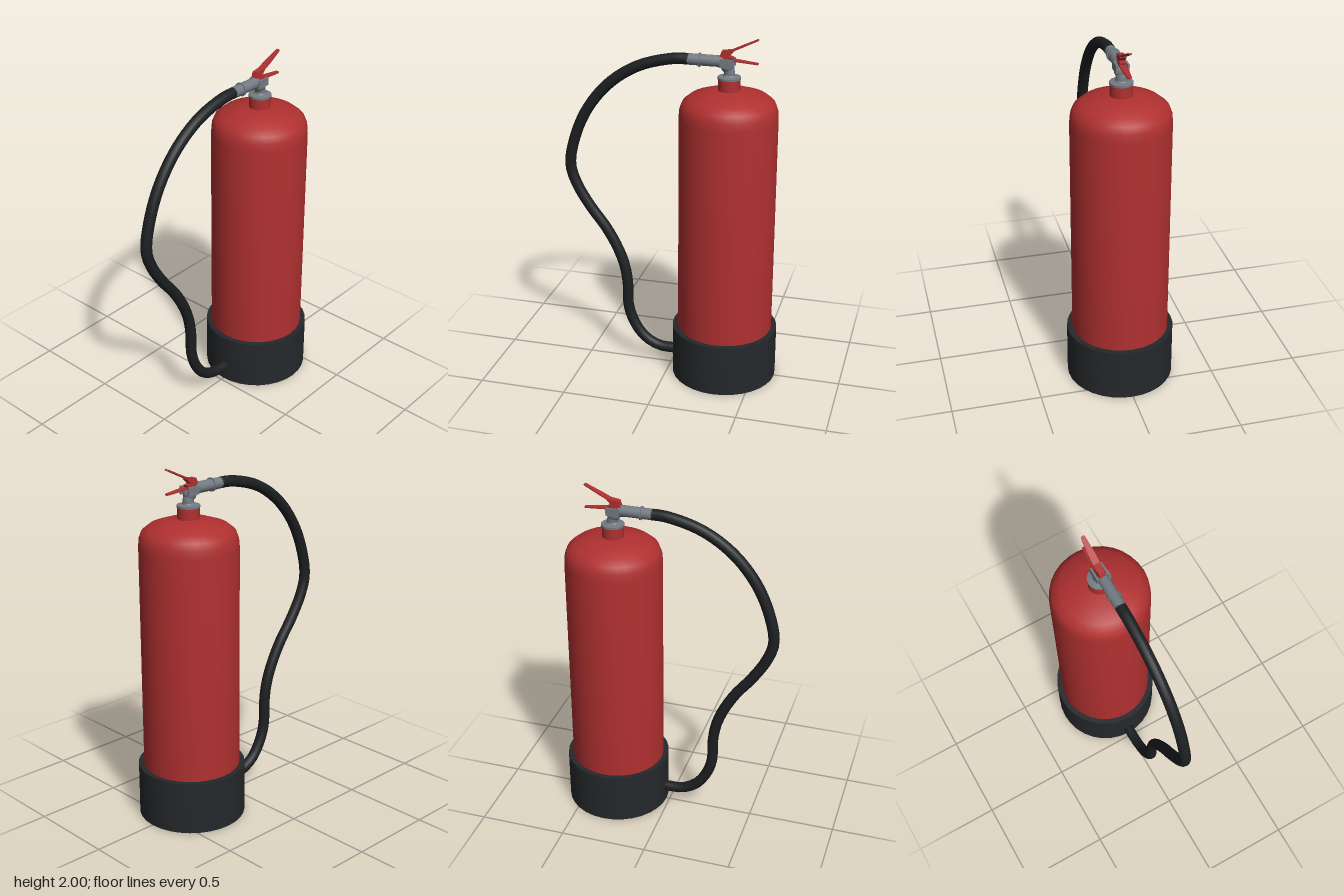
import * as THREE from 'three';
import { toCreasedNormals } from 'three/addons/utils/BufferGeometryUtils.js';

const CZ = -0.32; // axis of the cylinder
const red = new THREE.MeshStandardMaterial({ color: 0xb03030 });
const black = new THREE.MeshStandardMaterial({ color: 0x25282b });
const hoseBlack = new THREE.MeshStandardMaterial({ color: 0x1c1f21 });
const steel = new THREE.MeshStandardMaterial({ color: 0x737b82 });

const v = (z, y) => new THREE.Vector3(0, y, z);

export function createModel() {
  const group = new THREE.Group();
  const add = (name, geometry, material, x = 0, y = 0, z = 0) => {
    const mesh = new THREE.Mesh(geometry, material);
    mesh.name = name;
    mesh.position.set(x, y, z);
    group.add(mesh);
    return mesh;
  };
  const lathe = (name, profile, material, segments = 32) => {
    const points = profile.map(([r, y]) => new THREE.Vector2(r, y));
    return add(name, toCreasedNormals(new THREE.LatheGeometry(points, segments), 0.7), material, 0, 0, CZ);
  };

  // Foot, tank and neck
  lathe('base', [[0, 0], [0.3, 0], [0.3, 0.3], [0.268, 0.3], [0.268, 0.28]], black);
  lathe('tank', [[0.27, 0.25], [0.27, 1.56], [0.266, 1.605], [0.252, 1.642], [0.214, 1.673],
    [0.13, 1.702], [0.05, 1.713]], red);
  lathe('neck', [[0.06, 1.7], [0.06, 1.775], [0, 1.775]], red, 24);
  lathe('collar', [[0.055, 1.773], [0.063, 1.773], [0.063, 1.785], [0.035, 1.79], [0.028, 1.8], [0, 1.8]], steel, 24);

  // Valve: stem bending forwards into the outlet pipe
  const stem = new THREE.CatmullRomCurve3([v(-0.322, 1.78), v(-0.318, 1.82), v(-0.295, 1.855), v(-0.25, 1.865)]);
  add('valveStem', new THREE.TubeGeometry(stem, 10, 0.03, 16), steel);
  add('valveBody', new THREE.SphereGeometry(0.037, 16, 12), steel, 0, 1.842, -0.31);
  const along = (name, r, length, z) => {
    const g = new THREE.CylinderGeometry(r, r, length, 20).rotateX(Math.PI / 2);
    return add(name, g, steel, 0, 1.866, z);
  };
  along('outletPipe', 0.031, 0.19, -0.188);
  along('outletRing', 0.038, 0.008, -0.157);
  for (const side of [-1, 1]) {
    add('valveCheek', new THREE.BoxGeometry(0.01, 0.045, 0.075), steel, side * 0.031, 1.862, -0.31);
  }

  // Hose
  const path = new THREE.CatmullRomCurve3([
    v(-0.1, 1.866), v(-0.02, 1.864), v(0.18, 1.81), v(0.35, 1.7), v(0.48, 1.545), v(0.56, 1.37),
    v(0.593, 1.2), v(0.56, 1.085), v(0.48, 0.95), v(0.39, 0.83), v(0.32, 0.705), v(0.28, 0.595),
    v(0.263, 0.48), v(0.261, 0.35), v(0.23, 0.245), v(0.165, 0.15), v(0.075, 0.1), v(-0.03, 0.095),
  ]);
  add('hose', new THREE.TubeGeometry(path, 56, 0.031, 16), hoseBlack);
  const end = add('hoseEnd', new THREE.CircleGeometry(0.031, 16), hoseBlack, 0, 0.095, -0.03);
  end.rotation.y = Math.PI;

  // Levers: tapered plates running backwards from the hinge block
  const lever = (name, z0, y0, z1, y1, wide, narrow) => {
    const length = Math.hypot(z1 - z0, y1 - y0);
    const s = new THREE.Shape();
    s.moveTo(-wide, 0);
    s.lineTo(wide, 0);
    s.lineTo(wide, length * 0.45);
    s.lineTo(narrow, length - 0.006);
    s.lineTo(narrow * 0.6, length);
    s.lineTo(-narrow * 0.6, length);
    s.lineTo(-narrow, length - 0.006);
    s.lineTo(-wide, length * 0.45);
    const g = new THREE.ExtrudeGeometry(s, { depth: 0.008, bevelEnabled: false });
    g.translate(0, 0, -0.004).rotateX(Math.atan2(z1 - z0, y1 - y0));
    add(name, g, red, -0.003, y0, z0);
  };
  lever('upperLever', -0.3, 1.912, -0.474, 1.995, 0.019, 0.011);
  lever('lowerLever', -0.28, 1.882, -0.475, 1.864, 0.019, 0.011);

  // Hinge block, a side profile extruded across x
  const hinge = new THREE.Shape([[0.265, 1.885], [0.335, 1.878], [0.34, 1.892], [0.318, 1.898],
    [0.345, 1.925], [0.335, 1.932], [0.278, 1.925]].map(([a, b]) => new THREE.Vector2(a, b)));
  const block = new THREE.ExtrudeGeometry(hinge, { depth: 0.034, bevelEnabled: false });
  block.translate(0, 0, -0.017).rotateY(Math.PI / 2);
  add('hingeBlock', block, red, -0.003, 0, 0);

  return group;
}
